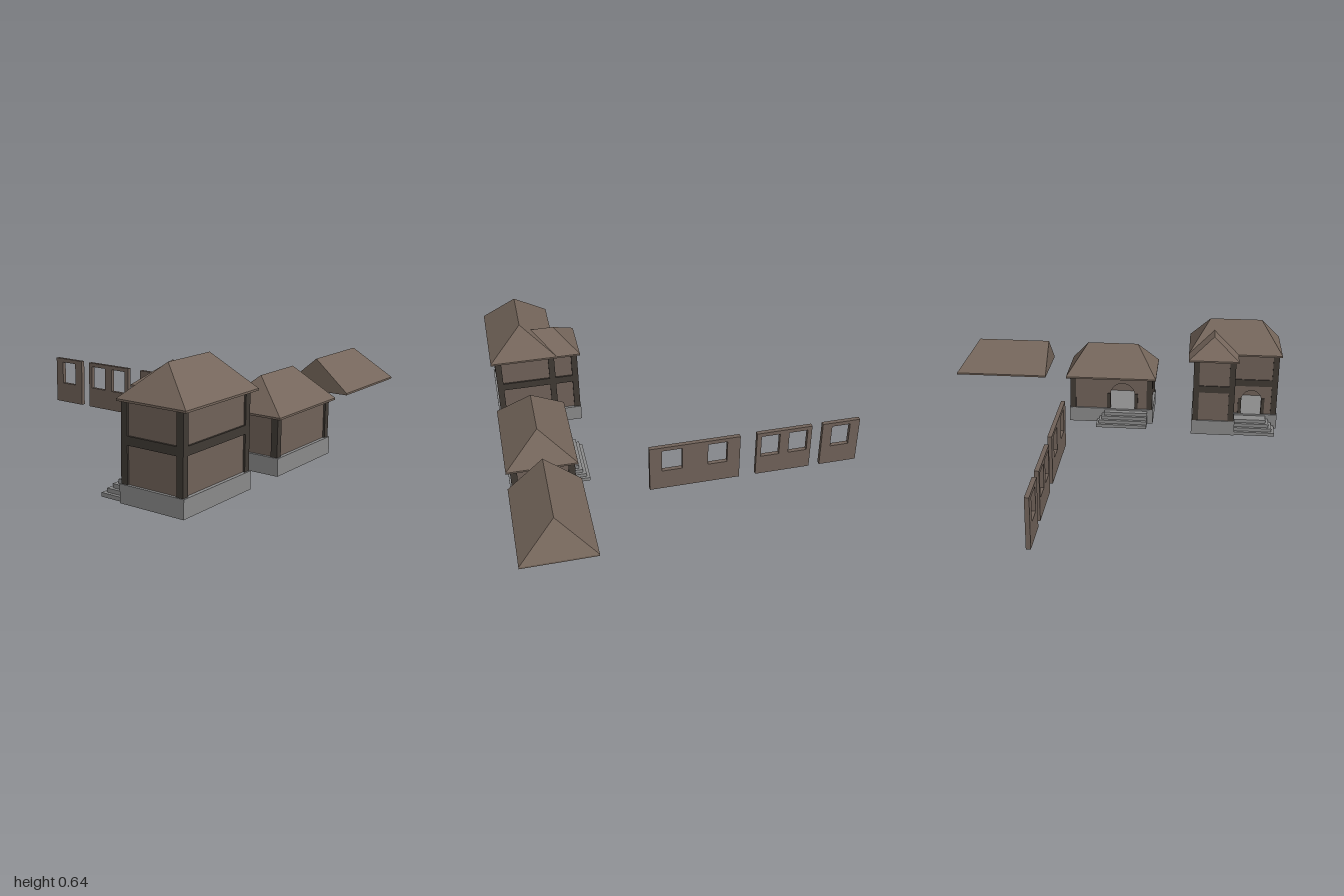
import * as THREE from 'three';

const mat = (name, color) => {
  const m = new THREE.MeshStandardMaterial({ color });
  m.name = name;
  return m;
};

export function createModel() {
  const wallMat = mat('wall brown', 0x706259);
  const roofMat = mat('roof brown', 0x75665b);
  const beamMat = mat('dark timber', 0x403a34);
  const stoneMat = mat('grey stone', 0x8a8a8a);

  const model = new THREE.Group();
  model.name = 'houseKit';

  const add = (parent, name, geo, material) => {
    const m = new THREE.Mesh(geo, material);
    m.name = name;
    parent.add(m);
    return m;
  };

  // Box given by its limits
  const box = (parent, name, material, x0, x1, y0, y1, z0, z1) => {
    const g = new THREE.BoxGeometry(x1 - x0, y1 - y0, z1 - z0);
    g.translate((x0 + x1) / 2, (y0 + y1) / 2, (z0 + z1) / 2);
    return add(parent, name, g, material);
  };

  // Ridge along z, with a thin vertical eave; ridge ends set back make hips
  const roofGeometry = (x0, x1, z0, z1, r0, r1, y0, y1) => {
    const xm = (x0 + x1) / 2, e = y0 + 0.01;
    const ring = (y) => [[x0, y, z0], [x0, y, z1], [x1, y, z1], [x1, y, z0]];
    const b = ring(y0), t = ring(e);
    const back = [xm, y1, r0], front = [xm, y1, r1];
    const pos = [];
    const face = (...p) => {
      for (let i = 1; i < p.length - 1; i++) pos.push(...p[0], ...p[i], ...p[i + 1]);
    };
    for (let i = 0; i < 4; i++) {
      const j = (i + 1) % 4;
      face(b[i], b[j], t[j], t[i]);
    }
    face(b[3], b[2], b[1], b[0]);
    face(t[0], t[1], front, back);
    face(t[1], t[2], front);
    face(t[2], t[3], back, front);
    face(t[3], t[0], back);
    const g = new THREE.BufferGeometry();
    g.setAttribute('position', new THREE.Float32BufferAttribute(pos, 3));
    g.computeVertexNormals();
    return g;
  };

  // Wall facing -x with an arched doorway
  const doorWall = (parent, x, y0, y1, z0, z1, doorZ, halfWidth, springY) => {
    const s = new THREE.Shape();
    s.moveTo(z0, y0);
    s.lineTo(doorZ - halfWidth, y0);
    s.lineTo(doorZ - halfWidth, springY);
    s.absarc(doorZ, springY, halfWidth, Math.PI, 0, true);
    s.lineTo(doorZ + halfWidth, y0);
    s.lineTo(z1, y0);
    s.lineTo(z1, y1);
    s.lineTo(z0, y1);
    const g = new THREE.ExtrudeGeometry(s, { depth: 0.02, bevelEnabled: false, curveSegments: 10 });
    g.rotateY(-Math.PI / 2);
    g.translate(x + 0.02, 0, 0);
    add(parent, 'doorWall', g, wallMat);
  };

  // Hollow main body: stone base, three plain walls, one door wall, posts
  const houseBody = (house, z0, z1, top, doorZ, halfWidth) => {
    box(house, 'stoneBase', stoneMat, 0.605, 0.955, 0, 0.09, z0, z1);
    const a = z0 + 0.015, b = z1 - 0.015;
    box(house, 'backWall', wallMat, 0.617, 0.937, 0.09, top, a, a + 0.02);
    box(house, 'frontWall', wallMat, 0.617, 0.937, 0.09, top, b - 0.02, b);
    box(house, 'sideWall', wallMat, 0.917, 0.937, 0.09, top, a + 0.02, b - 0.02);
    doorWall(house, 0.617, 0.09, top, a + 0.02, b - 0.02, doorZ, halfWidth, 0.18);
    for (const x of [0.61, 0.912])
      for (const z of [z0 + 0.005, z1 - 0.04])
        box(house, 'cornerPost', beamMat, x, x + 0.035, 0.09, top, z, z + 0.035);
    for (const z of [doorZ - halfWidth - 0.02, doorZ + halfWidth])
      box(house, 'doorPost', beamMat, 0.61, 0.625, 0.09, 0.19, z, z + 0.02);
  };

  // Steps shrinking upward against the -x side
  const steps = (house, x0, z0, z1, back, front) => {
    for (let i = 0; i < 4; i++)
      box(house, 'step', stoneMat, x0 + i * 0.018, 0.61, i * 0.02, (i + 1) * 0.02,
        z0 + i * back, z1 - i * front);
  };

  // Two-storey house with a side wing
  const tall = new THREE.Group();
  tall.name = 'tallHouse';
  model.add(tall);
  houseBody(tall, 0.465, 0.985, 0.47, 0.825, 0.06);
  box(tall, 'wingBase', stoneMat, 0.475, 0.605, 0, 0.09, 0.465, 0.725);
  box(tall, 'wingWalls', wallMat, 0.485, 0.617, 0.09, 0.47, 0.48, 0.71);
  for (const z of [0.47, 0.683])
    box(tall, 'wingPost', beamMat, 0.478, 0.513, 0.09, 0.47, z, z + 0.035);
  // Belt beams around the storeys
  const belt = (x0, x1, z0, z1) => box(tall, 'beltBeam', beamMat, x0, x1, 0.27, 0.312, z0, z1);
  belt(0.478, 0.947, 0.47, 0.49);
  belt(0.61, 0.947, 0.96, 0.98);
  belt(0.927, 0.947, 0.49, 0.96);
  belt(0.61, 0.63, 0.718, 0.96);
  belt(0.478, 0.498, 0.49, 0.698);
  belt(0.478, 0.61, 0.698, 0.718);
  steps(tall, 0.483, 0.725, 0.968, 0, 0.018);
  add(tall, 'mainRoof', roofGeometry(0.595, 0.97, 0.437, 0.995, 0.56, 0.87, 0.465, 0.64), roofMat);
  const wingRoof = roofGeometry(-0.148, 0.148, 0.463, 0.722, 0.592, 0.722, 0.465, 0.585);
  wingRoof.rotateY(Math.PI / 2);
  wingRoof.translate(0, 0, 0.586);
  add(tall, 'wingRoof', wingRoof, roofMat);

  // Single-storey house
  const low = new THREE.Group();
  low.name = 'lowHouse';
  model.add(low);
  houseBody(low, -0.295, 0.225, 0.29, 0.035, 0.075);
  steps(low, 0.515, -0.12, 0.19, 0.015, 0);
  add(low, 'lowRoof', roofGeometry(0.595, 0.97, -0.315, 0.24, -0.195, 0.115, 0.285, 0.46), roofMat);

  // Loose roof piece, hipped at the back and gabled at the front
  add(model, 'looseRoof', roofGeometry(0.595, 0.97, -1, -0.443, -0.885, -0.446, 0.285, 0.46), roofMat);

  // Loose wall panels with window openings
  const panels = [
    [-0.975, -0.76, [[-0.92, -0.815]]],
    [-0.698, -0.384, [[-0.674, -0.568], [-0.515, -0.41]]],
    [-0.29, 0.214, [[-0.218, -0.11], [0.033, 0.146]]],
  ];
  for (const [x0, x1, windows] of panels) {
    const rect = (P, a, b, c, d) => {
      const p = new P();
      p.moveTo(a, c);
      p.lineTo(b, c);
      p.lineTo(b, d);
      p.lineTo(a, d);
      p.closePath();
      return p;
    };
    const s = rect(THREE.Shape, x0, x1, 0.012, 0.29);
    for (const [a, b] of windows) s.holes.push(rect(THREE.Path, a, b, 0.132, 0.267));
    const g = new THREE.ExtrudeGeometry(s, { depth: 0.024, bevelEnabled: false });
    g.translate(0, 0, -0.289);
    add(model, 'windowPanel', g, wallMat);
  }

  return model;
}
